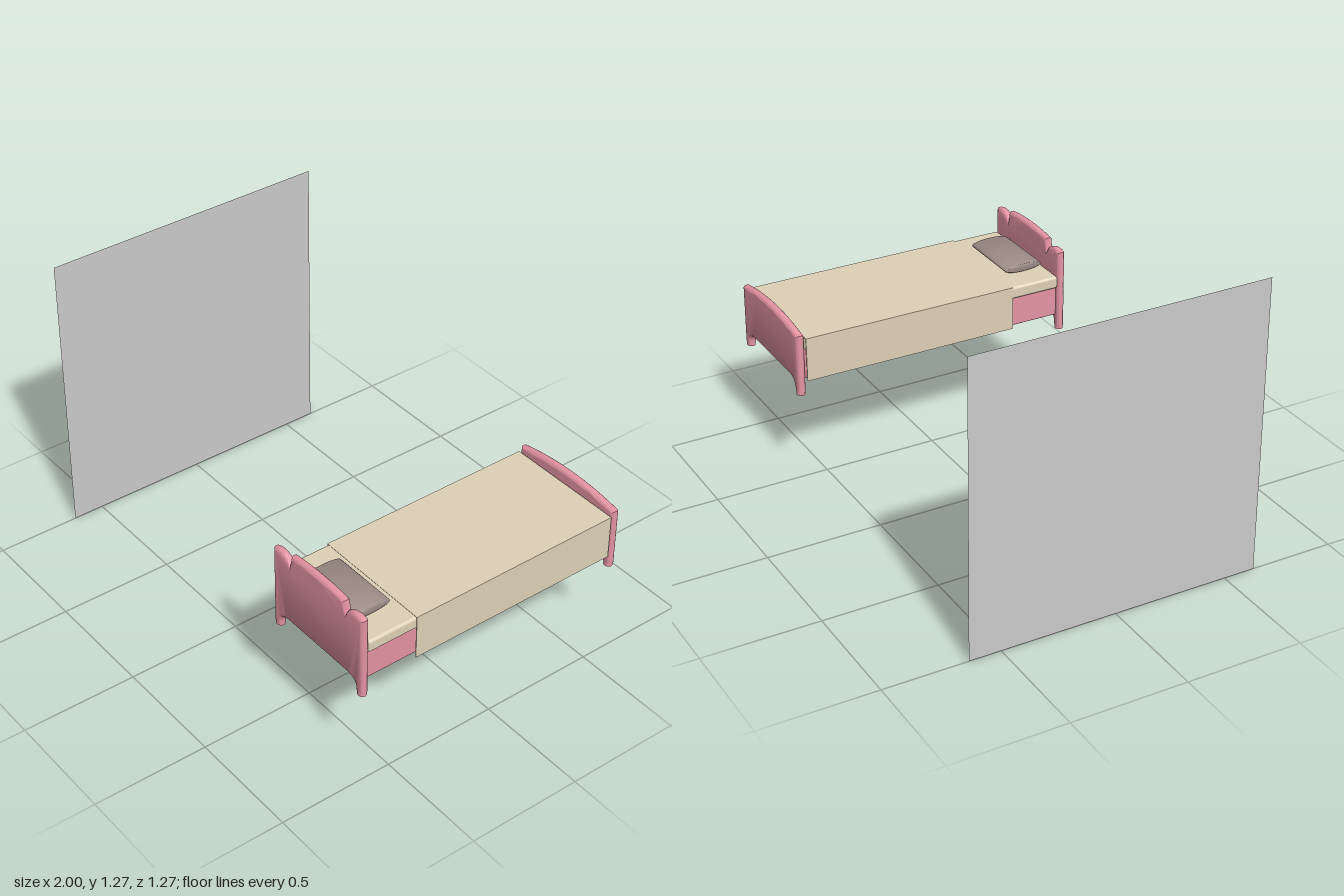
import * as THREE from 'three';
import { toCreasedNormals } from 'three/addons/utils/BufferGeometryUtils.js';
import { RoundedBoxGeometry } from 'three/addons/geometries/RoundedBoxGeometry.js';

const CX = 0.725, HALF = 0.27; // bed centre line and half width
const mat = (color, side = THREE.FrontSide) => new THREE.MeshStandardMaterial({ color, side });
const pink = mat(0xe594a2), cream = mat(0xdfd1b7), taupe = mat(0x9d8c86);

function add(parent, name, geometry, material, x, y, z) {
  const mesh = new THREE.Mesh(geometry, material);
  mesh.name = name;
  mesh.position.set(x, y, z);
  parent.add(mesh);
  return mesh;
}

// extrude with rounded rims, centred on z = 0
function softExtrude(shape, depth, bevel, curveSegments = 12) {
  const geometry = new THREE.ExtrudeGeometry(shape, {
    depth: depth - 2 * bevel, curveSegments, bevelThickness: bevel,
    bevelSize: bevel, bevelOffset: -bevel, bevelSegments: 5,
  });
  geometry.translate(0, 0, bevel - depth / 2);
  return toCreasedNormals(geometry, 0.7);
}

// end board outline: arched underside between two feet, given top edge
function boardShape(drawTop) {
  const s = new THREE.Shape();
  const leg = HALF - 0.038;
  s.moveTo(-HALF, 0.42);
  s.lineTo(-leg, 0.42);
  s.lineTo(-leg, 0.435);
  s.quadraticCurveTo(-leg + 0.003, 0.475, -leg + 0.06, 0.475);
  s.lineTo(leg - 0.06, 0.475);
  s.quadraticCurveTo(leg - 0.003, 0.475, leg, 0.435);
  s.lineTo(leg, 0.42);
  s.lineTo(HALF, 0.42);
  drawTop(s);
  s.closePath();
  return s;
}

// crown with a notched wing at each side
function headTop(s) {
  s.lineTo(HALF, 0.776);
  s.quadraticCurveTo(0.22, 0.797, 0.176, 0.764);
  s.lineTo(0.168, 0.745);
  s.lineTo(0.16, 0.8);
  s.quadraticCurveTo(0, 0.822, -0.16, 0.8);
  s.lineTo(-0.168, 0.745);
  s.lineTo(-0.176, 0.764);
  s.quadraticCurveTo(-0.22, 0.797, -HALF, 0.776);
}

// single shallow arch
function footTop(s) {
  s.lineTo(HALF, 0.685);
  s.quadraticCurveTo(0, 0.742, -HALF, 0.685);
}

function makeBoard(name, drawTop, z, depth) {
  const board = new THREE.Group();
  board.name = name;
  board.position.set(CX, 0, z);
  add(board, name + 'Panel', softExtrude(boardShape(drawTop), depth, 0.014), pink, 0, 0, 0);
  for (const side of [-1, 1]) {
    const foot = add(board, name + 'Foot', new THREE.CylinderGeometry(0.019, 0.019, 0.07, 24),
      pink, side * (HALF - 0.019), 0.445, 0);
    foot.scale.z = depth / 0.038;
  }
  return board;
}

export function createModel() {
  const model = new THREE.Group();
  const bed = new THREE.Group();
  bed.name = 'bed';
  model.add(bed);

  bed.add(makeBoard('headboard', headTop, 0.613, 0.034));
  bed.add(makeBoard('footboard', footTop, -0.617, 0.036));

  // base with slightly overhanging mattress
  add(bed, 'bedBase', new RoundedBoxGeometry(0.5, 0.137, 1.22, 3, 0.008), pink, CX, 0.542, 0);
  add(bed, 'mattress', new RoundedBoxGeometry(0.536, 0.055, 1.194, 4, 0.012), cream, CX, 0.637, 0);

  // blanket draped over the mattress and down both sides
  add(bed, 'blanketTop', new THREE.BoxGeometry(0.54, 0.004, 0.967), cream, CX, 0.664, -0.109);
  for (const side of [-1, 1]) {
    add(bed, 'blanketSide', new THREE.BoxGeometry(0.004, 0.195, 0.967), cream,
      CX + side * (HALF - 0.002), 0.5685, -0.109);
  }

  // pillow: lens-shaped section run across the bed
  const lens = new THREE.Shape();
  lens.absellipse(0, 0, 0.088, 0.0195, 0, Math.PI * 2);
  const pillow = add(bed, 'pillow', softExtrude(lens, 0.305, 0.008, 20), taupe, CX, 0.6835, 0.4925);
  pillow.rotation.y = Math.PI / 2;

  // freestanding upright panel
  const panel = add(model, 'wallPanel', new THREE.PlaneGeometry(1.274, 1.275),
    mat(0xcccccc, THREE.DoubleSide), -1, 0.6375, 0);
  panel.rotation.y = Math.PI / 2;

  return model;
}
